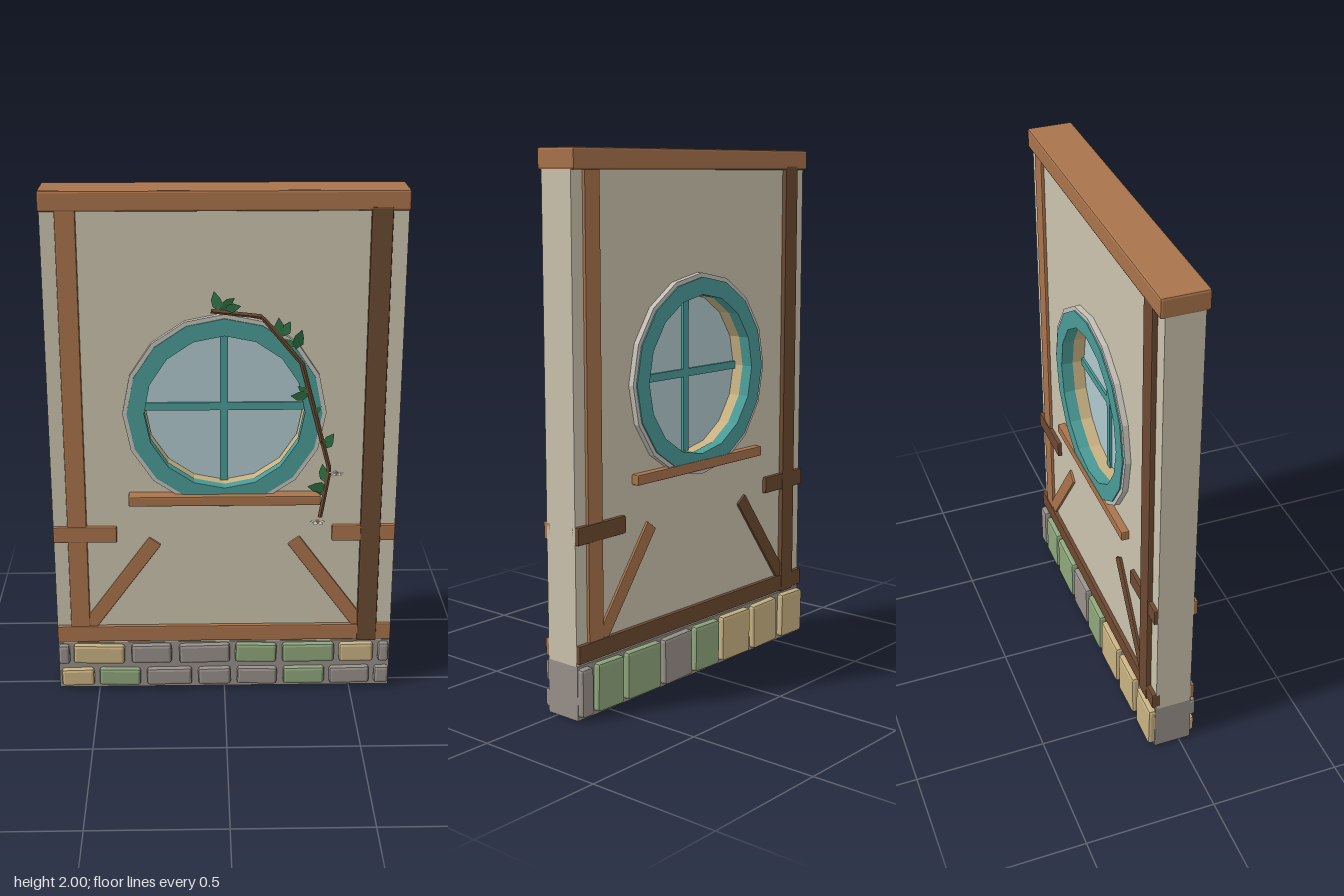
import * as THREE from 'three';
import { RoundedBoxGeometry } from 'three/addons/geometries/RoundedBoxGeometry.js';

const mat = (name, color, side = THREE.FrontSide) => {
  const m = new THREE.MeshStandardMaterial({ color, side, flatShading: true });
  m.name = name;
  return m;
};

const M = {
  timber: mat('timber', 0xa8734b),
  dark: mat('dark timber', 0x6b4931),
  plaster: mat('plaster', 0xcac2ad),
  stone: mat('grey stone', 0x98908a),
  tan: mat('tan stone', 0xc8b282, THREE.DoubleSide),
  moss: mat('green stone', 0x8fa67c),
  teal: mat('teal paint', 0x4a9a96),
  glass: mat('glass', 0xafc8cd),
  leaf: mat('leaf', 0x2f7044, THREE.DoubleSide),
  pale: mat('pale trim', 0xc4c0b8, THREE.DoubleSide),
};

const WIN_Y = 1.17, FRONT = 0.042, BACK = -0.097, HALF = 0.66;

function add(parent, name, geo, material, x = 0, y = 0, z = 0) {
  const mesh = new THREE.Mesh(geo, material);
  mesh.name = name;
  mesh.position.set(x, y, z);
  parent.add(mesh);
  return mesh;
}

// Bevelled block given by its limits on each axis
function block(parent, name, material, x0, x1, y0, y1, z0, z1, bevel = 0.005) {
  const geo = new RoundedBoxGeometry(x1 - x0, y1 - y0, z1 - z0, 1, bevel);
  return add(parent, name, geo, material, (x0 + x1) / 2, (y0 + y1) / 2, (z0 + z1) / 2);
}

// Flat ring with straight sides
function ring(outer, inner, depth) {
  const s = new THREE.Shape().absarc(0, 0, outer, 0, Math.PI * 2);
  s.holes.push(new THREE.Path().absarc(0, 0, inner, 0, Math.PI * 2, true));
  return new THREE.ExtrudeGeometry(s, { depth, bevelEnabled: false, curveSegments: 8 });
}

// Timber frame, window ring and sill of one face; local z = 0 is the plaster surface
function buildFace(name, beamMat, braceMat, sillDepth) {
  const g = new THREE.Group();
  g.name = name;
  block(g, 'leftPost', M.timber, -0.605, -0.53, 0.22, 1.94, -0.02, 0.012);
  block(g, 'rightPost', M.dark, 0.525, 0.602, 0.205, 1.94, -0.02, 0.019);
  block(g, 'bottomBeam', beamMat, -HALF, HALF, 0.21, 0.277, -0.02, 0.016);
  block(g, 'leftShortBeam', beamMat, -HALF, -0.415, 0.64, 0.705, -0.02, 0.016);
  block(g, 'rightShortBeam', beamMat, 0.415, HALF, 0.64, 0.705, -0.02, 0.016);
  for (const s of [-1, 1]) {
    const brace = block(g, s < 0 ? 'leftBrace' : 'rightBrace', s < 0 ? M.timber : braceMat,
      -0.028, 0.028, -0.225, 0.225, -0.018, 0.01);
    brace.position.set(s * 0.4, 0.46, -0.004);
    brace.rotation.z = s * 0.63;
  }
  add(g, 'windowRing', ring(0.365, 0.3, 0.045), M.teal, 0, WIN_Y, -0.018);
  add(g, 'windowRim', ring(0.381, 0.362, 0.034), M.pale, 0, WIN_Y, -0.012);
  block(g, 'sill', M.timber, -0.365, 0.365, 0.806, 0.845, -0.01, sillDepth);
  return g;
}

// Row of stones: [x0, x1, material] between two heights
function stoneRow(parent, name, row, y0, y1, z0, z1) {
  const g = new THREE.Group();
  g.name = name;
  row.forEach(([x0, x1, m], i) => {
    const b = block(g, 'stone', m, x0, x1, y0, y1, z0, z1, 0.012);
    b.rotation.z = x1 - x0 > 0.1 ? [0.02, -0.025, 0.01][i % 3] : 0;
  });
  parent.add(g);
}

function buildVine() {
  const g = new THREE.Group();
  g.name = 'vine';
  const pts = [[-0.05, 1.567], [0.135, 1.545], [0.285, 1.365], [0.397, 0.945], [0.365, 0.75]]
    .map(([x, y]) => new THREE.Vector3(x, y, 0.074));
  const path = new THREE.CurvePath();
  for (let i = 1; i < pts.length; i++) path.add(new THREE.LineCurve3(pts[i - 1], pts[i]));
  add(g, 'vineStem', new THREE.TubeGeometry(path, 40, 0.009, 5), M.dark);

  // Leaves: x, y, turn, size
  const shape = new THREE.Shape([[0, 0], [0.022, 0.025], [0.016, 0.05], [0, 0.08], [-0.02, 0.05], [-0.02, 0.022]]
    .map(([x, y]) => new THREE.Vector2(x, y)));
  const leafGeo = new THREE.ShapeGeometry(shape);
  const leaves = [
    [-0.02, 1.565, 0.25, 0.95], [-0.015, 1.57, -0.9, 0.85], [0.0, 1.57, -1.25, 0.8],
    [0.205, 1.46, 0.1, 1], [0.215, 1.47, -0.4, 0.8], [0.26, 1.42, -0.3, 1], [0.255, 1.43, 0.9, 0.6],
    [0.31, 1.24, 1.5, 0.85], [0.31, 1.25, 1.0, 0.6], [0.335, 1.17, -0.8, 0.5],
    [0.375, 1.03, -0.5, 0.9], [0.38, 1.04, 0.4, 0.5], [0.385, 0.89, 0.2, 0.95],
    [0.39, 0.87, 1.4, 1], [0.385, 0.84, 0.9, 0.7],
  ];
  leaves.forEach(([x, y, turn, size], i) => {
    const leaf = add(g, 'leaf', leafGeo, M.leaf, x, y, 0.076);
    leaf.rotation.set((i % 3 - 1) * 0.12, (i % 2 ? 1 : -1) * 0.2, turn);
    leaf.scale.setScalar(size);
  });

  // Five-petalled flowers facing up
  const petal = new THREE.ShapeGeometry(new THREE.Shape([[0, 0], [0.008, 0.012], [0.007, 0.026], [0, 0.03], [-0.007, 0.026], [-0.008, 0.012]]
    .map(([x, y]) => new THREE.Vector2(x, y))));
  petal.rotateX(-Math.PI / 2);
  for (const [x, y] of [[0.42, 0.938], [0.355, 0.738]]) {
    const flower = new THREE.Group();
    flower.name = 'flower';
    flower.position.set(x, y, 0.097);
    for (let i = 0; i < 5; i++) {
      add(flower, 'petal', petal, M.pale).rotation.y = i * Math.PI * 0.4;
    }
    add(flower, 'flowerCentre', new THREE.CylinderGeometry(0.007, 0.005, 0.012, 6), M.tan);
    g.add(flower);
  }
  return g;
}

export function createModel() {
  const model = new THREE.Group();
  model.name = 'wallPanel';

  // Plaster wall with the round opening
  const outline = new THREE.Shape([[-HALF, 0.2], [HALF, 0.2], [HALF, 1.94], [-HALF, 1.94]]
    .map(([x, y]) => new THREE.Vector2(x, y)));
  outline.holes.push(new THREE.Path().absarc(0, WIN_Y, 0.305, 0, Math.PI * 2, true));
  add(model, 'plasterWall', new THREE.ExtrudeGeometry(outline,
    { depth: FRONT - BACK, bevelEnabled: false, curveSegments: 8 }), M.plaster, 0, 0, BACK);

  // Foundation and top beam
  add(model, 'foundation', new THREE.BoxGeometry(HALF * 2, 0.2, 0.145), M.stone, 0, 0.1, -0.0275);
  block(model, 'topBeam', M.timber, -0.664, 0.664, 1.925, 2, -0.115, 0.058, 0.008);

  // Front and back framing
  const front = buildFace('frontFace', M.timber, M.timber, 0.053);
  front.position.z = FRONT;
  const back = buildFace('backFace', M.dark, M.dark, 0.03);
  back.position.z = BACK;
  back.rotation.y = Math.PI;
  model.add(front, back);

  // Window reveal, glass and glazing bars
  const tube = new THREE.CylinderGeometry(0.302, 0.302, FRONT - BACK - 0.03, 16, 1, true);
  tube.rotateX(Math.PI / 2).rotateZ(Math.PI / 2);
  add(model, 'windowReveal', tube, M.tan, 0, WIN_Y, -0.0275);
  const pane = new THREE.CylinderGeometry(0.3, 0.3, 0.01, 16);
  pane.rotateX(Math.PI / 2).rotateZ(Math.PI / 2);
  add(model, 'glassPane', pane, M.glass, 0, WIN_Y, -0.0275);
  add(model, 'uprightBar', new THREE.BoxGeometry(0.03, 0.6, 0.03), M.teal, 0, WIN_Y, -0.0275);
  add(model, 'crossBar', new THREE.BoxGeometry(0.6, 0.03, 0.028), M.teal, 0, WIN_Y, -0.0275);

  // Stones
  const { stone: S, tan: T, moss: G } = M;
  stoneRow(model, 'frontLowerStones', [[-0.65, -0.52, T], [-0.5, -0.335, G], [-0.31, -0.13, S], [-0.105, 0.025, S],
    [0.05, 0.21, S], [0.235, 0.4, G], [0.42, 0.58, S], [0.6, 0.658, S]], 0.014, 0.088, 0.02, 0.067);
  stoneRow(model, 'frontUpperStones', [[-0.66, -0.615, S], [-0.6, -0.397, T], [-0.37, -0.21, S], [-0.18, 0.022, S],
    [0.043, 0.207, G], [0.23, 0.437, G], [0.457, 0.593, T], [0.613, 0.655, S]], 0.112, 0.194, 0.02, 0.067);
  stoneRow(model, 'backStones', [[-0.658, -0.52, T], [-0.485, -0.33, T], [-0.305, -0.13, T], [-0.11, 0.035, G],
    [0.055, 0.215, S], [0.235, 0.42, G], [0.44, 0.577, G], [0.6, 0.658, S]], 0.012, 0.192, -0.126, -0.06);

  model.add(buildVine());
  return model;
}
